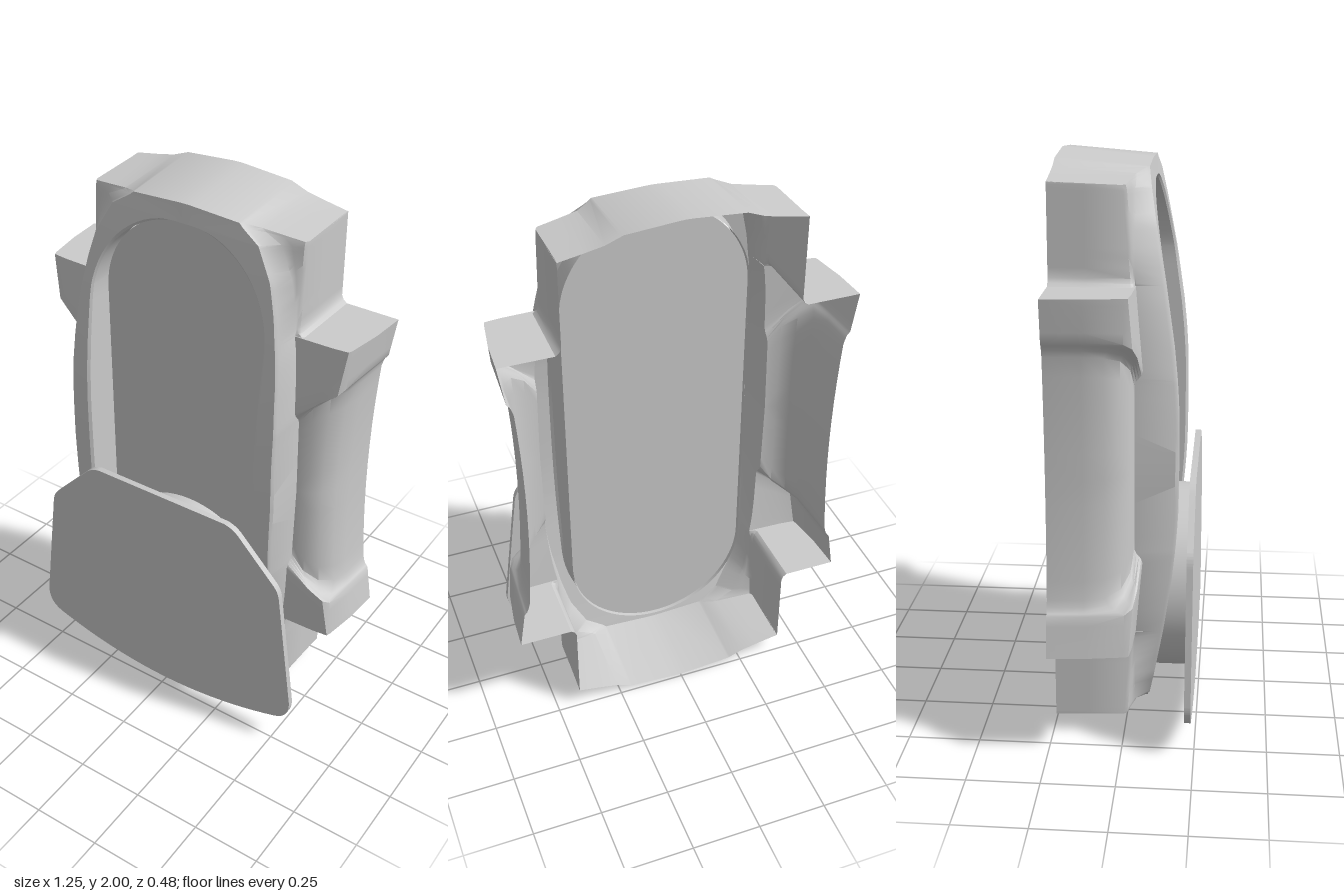
import * as THREE from 'three';
import { toCreasedNormals } from 'three/addons/utils/BufferGeometryUtils.js';

const MID = 1.002;   // height of the horizontal symmetry plane
const HALF = 0.998;  // half of the full height
const BACK = -0.24;  // open rear edge
const R = 0.342;     // opening radius
const ARC = 0.563;   // where the opening starts to round off
const STEP = 0.605;  // top of the side wings
const WING = 0.31;   // where the wing starts, next to the rim
const FRONT = 0.968; // front edge of the end walls

// Piecewise linear curve through [position, value] pairs
function along(pairs, t) {
  for (let i = 1; i < pairs.length; i++) {
    const [a, va] = pairs[i - 1], [b, vb] = pairs[i];
    if (t <= b) return va + (vb - va) * Math.max(0, (t - a) / (b - a));
  }
  return pairs[pairs.length - 1][1];
}
const lerp = THREE.MathUtils.lerp;

const rimWidth = [[0, 0.425], [0.3, 0.42], [0.45, 0.41], [0.55, 0.4], [0.7, 0.372], [0.8, 0.345], [0.91, 0.285], [FRONT, 0.21]];
const rimHeight = [[0, 0.182], [0.1, 0.182], [0.2, 0.18], [0.3, 0.173], [0.4, 0.163], [0.6, 0.135], [0.8, 0.1], [FRONT, 0.07]];
const endOutline = [[0, HALF], [0.1, 0.994], [0.2, 0.984], [0.27, 0.957], [0.41, 0.932]];
const wingSlant = [0, 0.07, 0.115, 0.135, 0.14, 0.14]; // rise of the wing's lower edge per column

// The ends fall away towards the sides
function bowEnd(t, x) {
  const start = ARC + R;
  if (t <= start) return t;
  return start + (t - start) / (HALF - start) * (along(endOutline, x) - start);
}

// Scooped side panel blending obliquely into the raised wing
function sideColumns(t, xr) {
  const w = THREE.MathUtils.smoothstep(t, WING - 0.025, WING + 0.025);
  const up = Math.max(0, (t - WING) / (STEP - WING));
  const dent = 0.02 * Math.min(1, t / WING) ** 2, flare = 0.024 * up;
  const panel = [
    [xr + 0.01, 0.038], [0.475, 0.028], [0.515 + dent / 2, 0],
    [0.543 + dent, -0.05], [0.556 + dent, -0.12], [0.562 + dent, BACK],
  ];
  const wing = [
    [xr + 0.01, lerp(0.067, 0.04, up)], [0.51 + flare, lerp(0.055, 0.036, up)], [0.565 + flare, lerp(0.043, 0.03, up)],
    [0.582 + flare / 2, 0.015], [0.59 + flare, -0.11], [0.599 + flare, BACK],
  ];
  return panel.map(([x, z], i) => [lerp(x, wing[i][0], w), lerp(z, wing[i][1], w)]);
}

// Lower block beside the rim, near the ends
function shoulderColumns(t, xr) {
  const s = (t - STEP) / (FRONT - STEP);
  const fillet = 0.02 * Math.max(0, 1 - (t - STEP) / 0.025) ** 2;
  const x = xr + 0.012 + 0.04 * s;
  return [
    [x, lerp(0.04, 0.032, s)], [lerp(x, 0.4, 0.5), lerp(0.038, 0.02, s)], [0.402 + fillet, lerp(0.034, 0.008, s)],
    [0.409 + fillet, lerp(0.025, -0.005, s)], [0.411 + fillet, -0.12], [0.413 + fillet, BACK],
  ];
}

// Half cross-section at distance t from the middle, from opening to rear edge
function section({ t, shoulder, closed, end }) {
  const k = Math.max(0, (t - ARC) / R);
  const xi = R * Math.sqrt(Math.max(0, 1 - k * k));
  const xr = along(rimWidth, t), zr = along(rimHeight, t);
  const rim = [
    [xi, closed ? zr : 0.025],
    [xi, zr - (closed ? 0 : 0.008)],
    [lerp(xi, xr, 0.12), zr],
    [xr - 0.008, zr],
    [xr, zr - 0.01],
  ];
  const outer = shoulder ? shoulderColumns(t, xr) : sideColumns(t, xr);
  return [...rim, ...outer].map(([x, z], i) => {
    let y = bowEnd(end ? HALF : t, x);
    if (!shoulder && i >= rim.length) {
      y = along([[0, 0], [WING, WING + wingSlant[i - rim.length]], [STEP, STEP]], t);
    }
    return new THREE.Vector3(x, y, end ? BACK : z);
  });
}

function shellGeometry() {
  const stations = [0, 0.06, 0.12, 0.18, 0.24, 0.285, 0.3, WING, 0.32, 0.335, 0.4, 0.46, 0.52, ARC, STEP].map(t => ({ t }));
  stations.push({ t: STEP, shoulder: true }, { t: 0.615, shoulder: true }, { t: 0.63, shoulder: true });
  for (let i = 3; i <= 15; i++) {
    stations.push({ t: ARC + R * Math.sin(i * Math.PI / 32), shoulder: true });
  }
  stations.push(
    { t: ARC + R, shoulder: true },
    { t: ARC + R, shoulder: true, closed: true },
    { t: 0.955, shoulder: true, closed: true },
    { t: FRONT, shoulder: true, closed: true },
    { t: FRONT, shoulder: true, closed: true, end: true },
  );
  const rows = stations.map(section);
  const out = [];
  const area = new THREE.Triangle();
  const tri = (a, b, c, sx, sy) => {
    area.set(a, b, c);
    if (area.getArea() < 1e-8) return;
    const order = sx * sy > 0 ? [a, b, c] : [a, c, b];
    for (const p of order) out.push(p.x * sx, MID + p.y * sy, p.z);
  };
  // Four mirrored quarters
  for (const sx of [1, -1]) for (const sy of [1, -1]) {
    for (let i = 0; i + 1 < rows.length; i++) {
      for (let j = 0; j + 1 < rows[i].length; j++) {
        const a = rows[i][j], b = rows[i][j + 1], c = rows[i + 1][j + 1], d = rows[i + 1][j];
        tri(a, b, c, sx, sy);
        tri(a, c, d, sx, sy);
      }
    }
  }
  const g = new THREE.BufferGeometry();
  g.setAttribute('position', new THREE.Float32BufferAttribute(out, 3));
  return toCreasedNormals(g, 0.6);
}

function plateGeometry(shape, depth) {
  const g = new THREE.ExtrudeGeometry(shape, { depth, bevelEnabled: false, curveSegments: 32 });
  return toCreasedNormals(g, 0.5);
}

export function createModel() {
  const model = new THREE.Group();
  const grey = new THREE.MeshStandardMaterial({ color: 0xcccccc });
  const greyThin = new THREE.MeshStandardMaterial({ color: 0xcccccc, side: THREE.DoubleSide });
  const add = (name, geometry, material = grey) => {
    const mesh = new THREE.Mesh(geometry, material);
    mesh.name = name;
    model.add(mesh);
    return mesh;
  };

  add('housingShell', shellGeometry(), greyThin);

  // Long round-ended plate filling the opening
  const slot = new THREE.Shape();
  slot.absarc(0, MID + ARC, 0.338, 0, Math.PI);
  slot.absarc(0, MID - ARC, 0.338, Math.PI, Math.PI * 2);
  slot.closePath();
  add('insetPlate', plateGeometry(slot, 0.015)).position.z = 0.035;

  // Round pedestal carrying the shield
  const pedestal = add('pedestal', new THREE.CylinderGeometry(0.337, 0.337, 0.175, 64));
  pedestal.rotation.x = Math.PI / 2;
  pedestal.position.set(0, 0.447, 0.1325);

  // Flat shield with chamfered top and bowed bottom
  const s = new THREE.Shape();
  s.moveTo(-0.27, 0.915);
  s.lineTo(0.27, 0.915);
  s.quadraticCurveTo(0.305, 0.91, 0.33, 0.885);
  s.lineTo(0.475, 0.735);
  s.quadraticCurveTo(0.495, 0.715, 0.5, 0.68);
  s.lineTo(0.562, 0.21);
  s.quadraticCurveTo(0.568, 0.13, 0.5, 0.108);
  s.quadraticCurveTo(0.25, 0.026, 0, 0.026);
  s.quadraticCurveTo(-0.25, 0.026, -0.5, 0.108);
  s.quadraticCurveTo(-0.568, 0.13, -0.562, 0.21);
  s.lineTo(-0.5, 0.68);
  s.quadraticCurveTo(-0.495, 0.715, -0.475, 0.735);
  s.lineTo(-0.33, 0.885);
  s.quadraticCurveTo(-0.305, 0.91, -0.27, 0.915);
  add('shield', plateGeometry(s, 0.022)).position.z = 0.216;

  return model;
}
